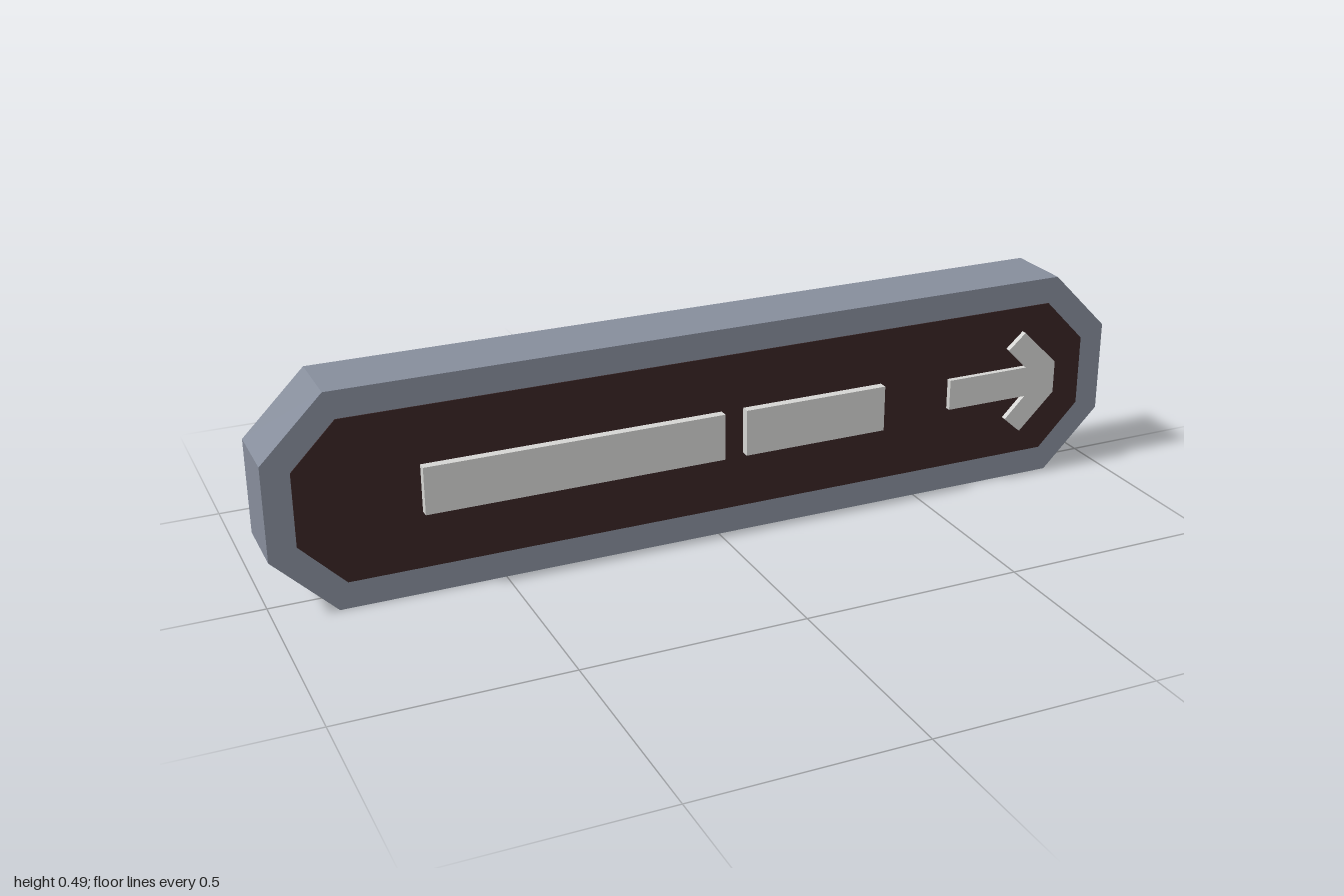
import * as THREE from 'three';

const MID_Y = 0.243; // height of the horizontal centre line

// Extrude an outline of [x, y] points between two depths.
function slab(name, points, z0, z1, material) {
  const shape = new THREE.Shape(points.map(([x, y]) => new THREE.Vector2(x, y)));
  const geometry = new THREE.ExtrudeGeometry(shape, { depth: z1 - z0, bevelEnabled: false });
  const mesh = new THREE.Mesh(geometry, material);
  mesh.name = name;
  mesh.position.set(0, MID_Y, z0);
  return mesh;
}

// Rectangle with cut corners, centred on the origin.
function cutRectangle(w, h, cx, cy) {
  return [
    [w, -h + cy], [w, h - cy], [w - cx, h], [-w + cx, h],
    [-w, h - cy], [-w, -h + cy], [-w + cx, -h], [w - cx, -h],
  ];
}

export function createModel() {
  const group = new THREE.Group();
  group.name = 'directionSign';

  const grey = new THREE.MeshStandardMaterial({ color: 0x868d9b });
  grey.name = 'blueGreyCasing';
  const brown = new THREE.MeshStandardMaterial({ color: 0x382424 });
  brown.name = 'darkBrownPanel';
  const white = new THREE.MeshStandardMaterial({ color: 0xd4d4d2 });
  white.name = 'paleGreyMarkings';

  // Casing and the dark face laid on it
  group.add(slab('casing', cutRectangle(1, 0.243, 0.137, 0.137), -0.088, 0.068, grey));
  group.add(slab('facePanel', cutRectangle(0.94, 0.182, 0.098, 0.1), 0.067, 0.07, brown));

  // Raised bars
  for (const [name, x0, x1] of [['longBar', -0.675, 0.005], ['shortBar', 0.057, 0.402]]) {
    const bar = new THREE.Mesh(new THREE.BoxGeometry(x1 - x0, 0.107, 0.022), white);
    bar.name = name;
    bar.position.set((x0 + x1) / 2, MID_Y, 0.079);
    group.add(bar);
  }

  // Arrow: upper half outline, mirrored below
  const upper = [[0.862, 0.038], [0.775, 0.123], [0.733, 0.086], [0.783, 0.036], [0.578, 0.036]];
  const lower = upper.map(([x, y]) => [x, -y]).reverse();
  group.add(slab('arrow', [...upper, ...lower], 0.068, 0.083, white));

  return group;
}
